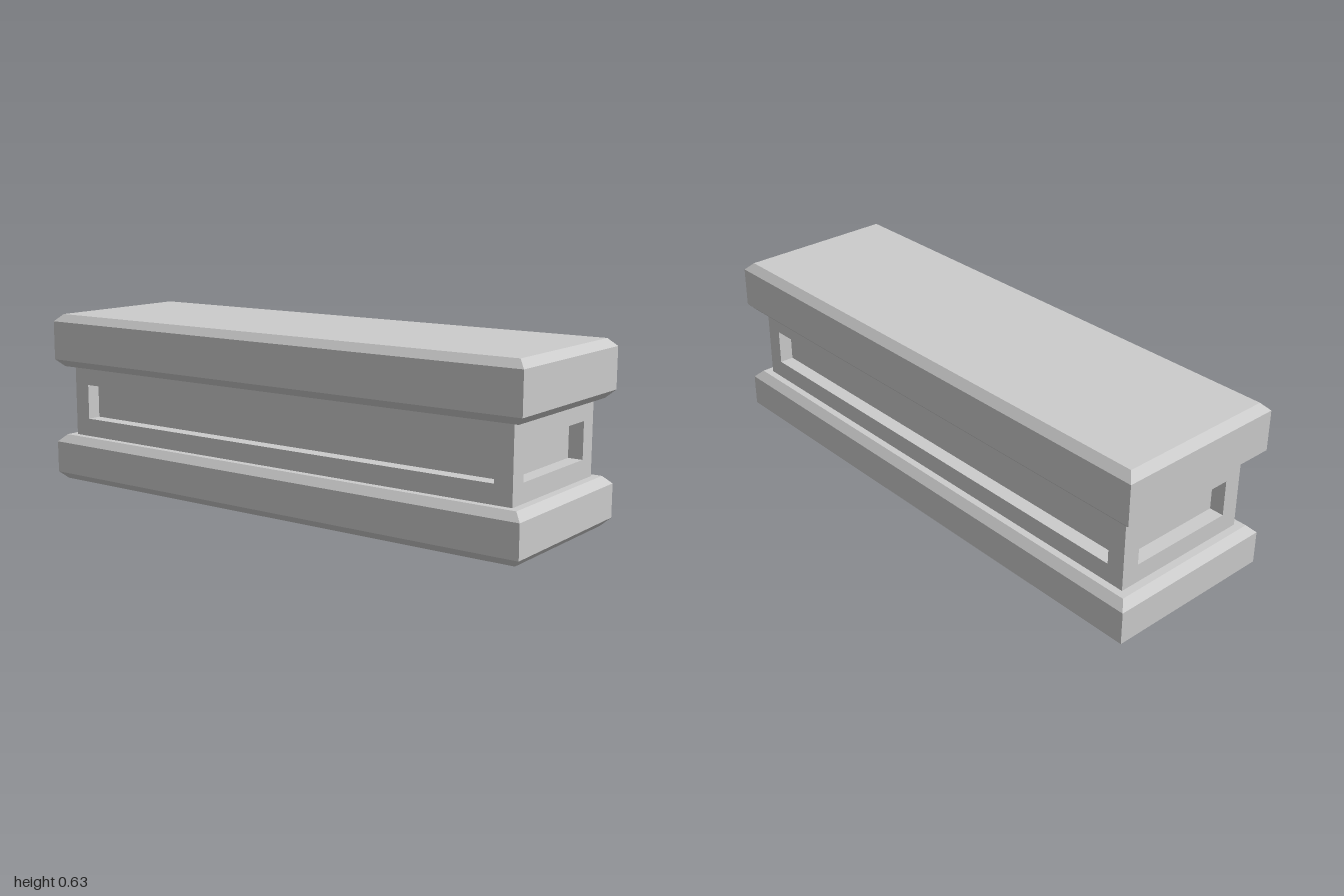
import * as THREE from 'three';

const material = new THREE.MeshStandardMaterial({
  color: 0xcccccc, flatShading: true, side: THREE.DoubleSide,
});

// Flat-shaded skin over rectangular loops [halfX, halfZ, y], optionally capped at the last loop
function loft(name, loops, capped) {
  const rings = loops.map(([x, z, y]) => [[x, y, z], [x, y, -z], [-x, y, -z], [-x, y, z]]);
  const pos = [];
  const quad = (a, b, c, d) => pos.push(...a, ...b, ...c, ...a, ...c, ...d);
  for (let r = 0; r < rings.length - 1; r++) {
    const lo = rings[r], hi = rings[r + 1];
    for (let i = 0; i < 4; i++) {
      const j = (i + 1) % 4;
      quad(lo[i], lo[j], hi[j], hi[i]);
    }
  }
  if (capped) quad(...rings[rings.length - 1]);
  const geometry = new THREE.BufferGeometry();
  geometry.setAttribute('position', new THREE.Float32BufferAttribute(pos, 3));
  geometry.computeVertexNormals();
  const mesh = new THREE.Mesh(geometry, material);
  mesh.name = name;
  return mesh;
}

export function createModel() {
  const group = new THREE.Group();
  group.name = 'panelledPlinth';

  const W = 0.32, L = 1, bevel = 0.027;     // slab half sizes and chamfer
  const wallX = 0.267, wallZ = 0.945;       // recessed middle wall
  const wallLow = 0.172, wallHigh = 0.436, top = 0.635;
  const recess = 0.053;

  const slab = (y0, y1) => [
    [W - bevel, L - bevel, y0],
    [W, L, y0 + bevel],
    [W, L, y1 - bevel],
    [W - bevel, L - bevel, y1],
  ];

  // Hollow base open underneath, and closed top slab
  group.add(loft('base', [...slab(0, wallLow), [wallX, wallZ, wallLow]], false));
  group.add(loft('topSlab', [[wallX, wallZ, wallHigh], ...slab(wallHigh, top)], true));

  // Four middle walls, each with a sunken rectangular panel
  const midY = (wallLow + wallHigh) / 2, halfH = (wallHigh - wallLow) / 2;
  const walls = [
    ['frontWall', wallX, 0.201, wallZ, 0],
    ['leftWall', wallZ, 0.88, wallX, Math.PI / 2],
    ['backWall', wallX, 0.201, wallZ, Math.PI],
    ['rightWall', wallZ, 0.88, wallX, -Math.PI / 2],
  ];
  for (const [name, halfW, panelW, distance, turn] of walls) {
    const wall = loft(name, [
      [halfW, halfH, 0],
      [panelW, 0.065, 0],
      [panelW, 0.065, -recess],
    ], true);
    wall.geometry.rotateX(Math.PI / 2).translate(0, midY, distance).rotateY(turn);
    group.add(wall);
  }
  return group;
}
